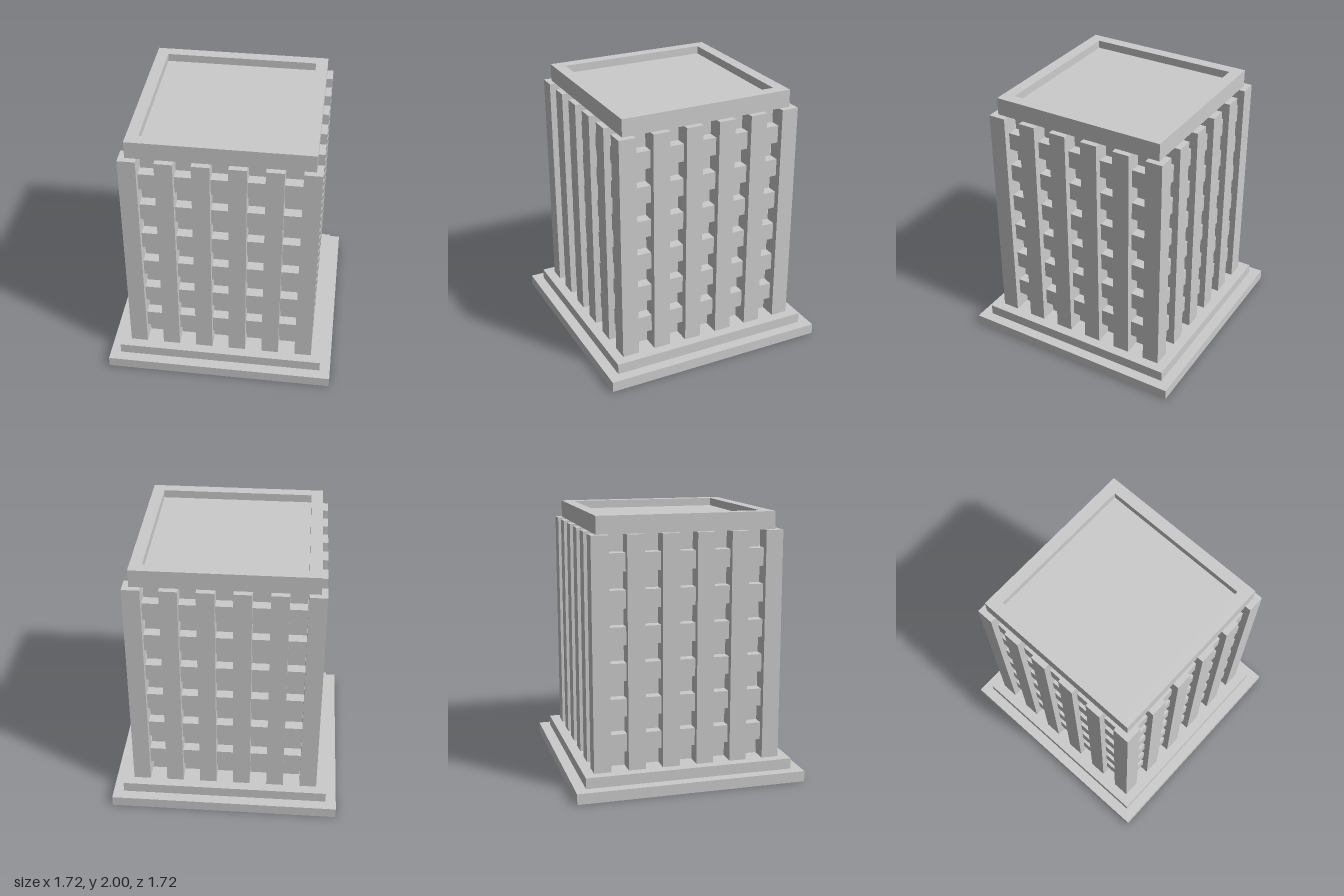
import * as THREE from 'three';

export function createModel() {
  const model = new THREE.Group();
  model.name = 'towerBlock';
  const material = new THREE.MeshStandardMaterial({ color: 0xcccccc, flatShading: true });

  // Box given by its half widths, bottom and top
  function block(name, halfX, halfZ, bottom, top, x = 0, z = 0, parent = model) {
    const mesh = new THREE.Mesh(new THREE.BoxGeometry(halfX * 2, top - bottom, halfZ * 2), material);
    mesh.position.set(x, (bottom + top) / 2, z);
    mesh.name = name;
    parent.add(mesh);
    return mesh;
  }

  // Stepped plinth
  block('lowerStep', 0.86, 0.86, 0, 0.08);
  block('upperStep', 0.78, 0.78, 0.08, 0.16);

  // Recessed core
  const bodyBottom = 0.16, bodyTop = 1.87;
  block('core', 0.575, 0.575, bodyBottom, bodyTop);

  // Floor bands between the window openings
  const band = (bodyTop - bodyBottom) / 13;
  for (let i = 0; i < 6; i++) {
    const y = bodyBottom + band * (2 * i + 1);
    block('floorBand', 0.658, 0.658, y, y + band);
  }

  // Square pillars around the perimeter, corners shared by two sides
  const outer = 0.705, half = outer / 11, edge = outer - half;
  const pillars = new THREE.Group();
  pillars.name = 'pillars';
  model.add(pillars);
  for (let i = 0; i < 6; i++) {
    for (let j = 0; j < 6; j++) {
      if (i % 5 !== 0 && j % 5 !== 0) continue;
      block('pillar', half, half, bodyBottom, bodyTop,
        -edge + i * half * 4, -edge + j * half * 4, pillars);
    }
  }

  // Roof slab with a raised parapet
  const roofOuter = 0.66, roofInner = 0.572, roofFloor = 1.94;
  block('roofSlab', roofInner, roofInner, bodyTop, roofFloor);
  const square = (Type, r) => {
    const s = new Type();
    s.moveTo(-r, -r).lineTo(r, -r).lineTo(r, r).lineTo(-r, r).closePath();
    return s;
  };
  const rim = square(THREE.Shape, roofOuter);
  rim.holes.push(square(THREE.Path, roofInner));
  const rimGeometry = new THREE.ExtrudeGeometry(rim, { depth: 2 - bodyTop, bevelEnabled: false });
  rimGeometry.rotateX(-Math.PI / 2);
  const parapet = new THREE.Mesh(rimGeometry, material);
  parapet.position.y = bodyTop;
  parapet.name = 'parapet';
  model.add(parapet);

  return model;
}
